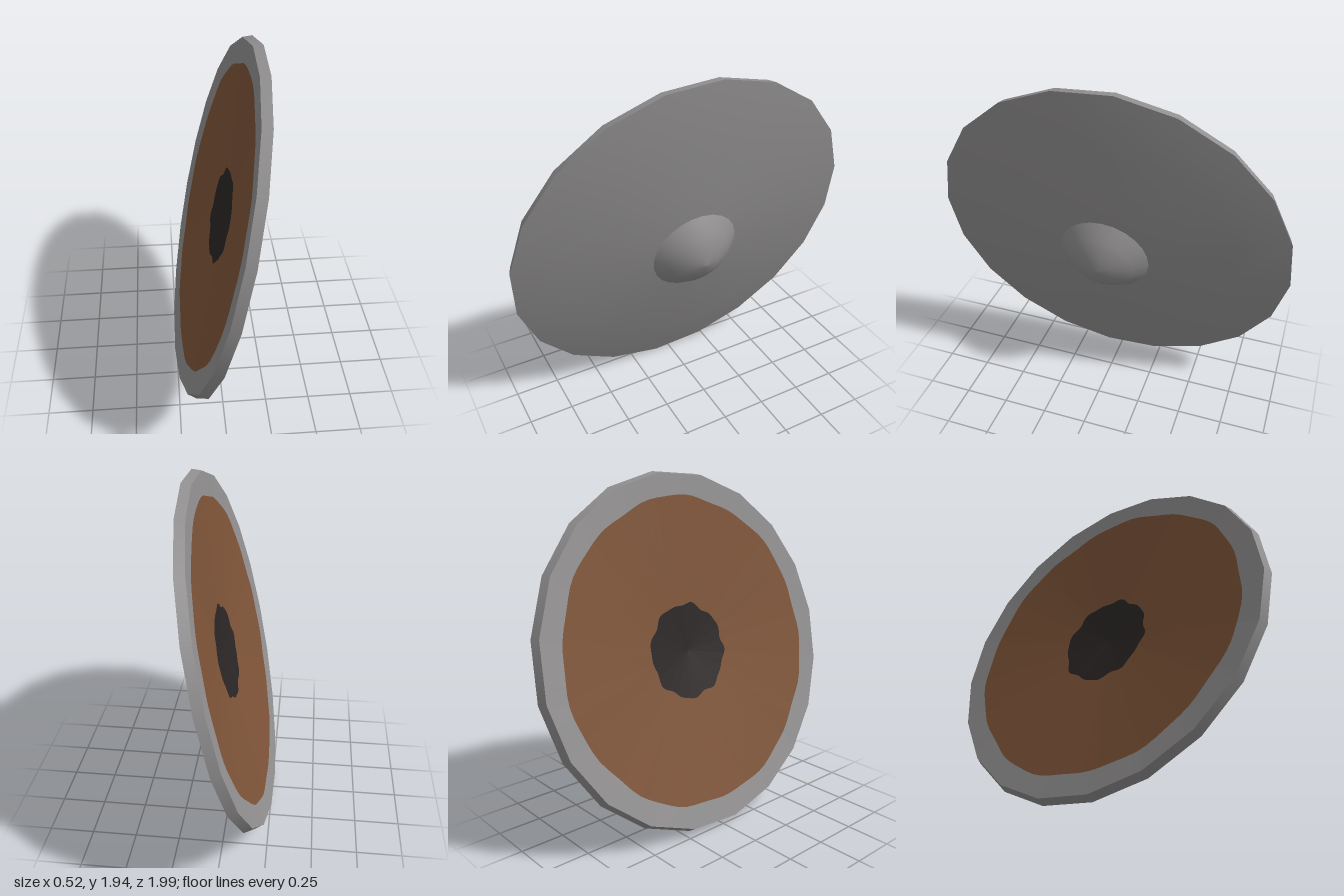
import * as THREE from 'three';

const SIDES = 20;
const START = THREE.MathUtils.degToRad(13);
const BACK_RADIUS = 0.982;

const mat = (name, color) => {
  const m = new THREE.MeshStandardMaterial({ color });
  m.name = name;
  return m;
};

const add = (group, name, geometry, material) => {
  const mesh = new THREE.Mesh(geometry, material);
  mesh.name = name;
  group.add(mesh);
};

const lathe = (points, sides = SIDES) =>
  new THREE.LatheGeometry(points.map(([r, h]) => new THREE.Vector2(r, h)), sides, START);

// Distance from the axis to the edge of a unit polygon in direction a
const polygonEdge = (a) => {
  const step = (Math.PI * 2) / SIDES;
  const local = (((a - START) % step) + step) % step;
  return Math.cos(step / 2) / Math.cos(local - step / 2);
};

// Ring on the hollow, shallow-coned back, between two radius functions of angle
const backRing = (inner, outer) => {
  const n = SIDES * 5, pos = [], index = [];
  for (let i = 0; i <= n; i++) {
    const a = START + (i / n) * Math.PI * 2;
    for (const r of [inner(a), outer(a)]) {
      const h = 0.038 - 0.088 * r / (BACK_RADIUS * polygonEdge(a));
      pos.push(r * Math.sin(a), h, r * Math.cos(a));
    }
    if (i < n) {
      const k = i * 2;
      index.push(k, k + 3, k + 1, k, k + 2, k + 3);
    }
  }
  const g = new THREE.BufferGeometry();
  g.setAttribute('position', new THREE.Float32BufferAttribute(pos, 3));
  g.setIndex(index);
  g.computeVertexNormals();
  return g;
};

export function createModel() {
  const steel = mat('steel grey', 0x929090);
  const wood = mat('brown wood', 0x7e5438);
  const dark = mat('dark hollow', 0x2c2626);

  const shield = new THREE.Group();
  shield.name = 'shield';

  // Outer face, rim band and domed boss
  add(shield, 'outerFace', lathe([[1, 0], [0.71, 0.061], [0.24, 0.117], [0, 0.13]]), steel);
  add(shield, 'rimBand', lathe([[BACK_RADIUS, -0.05], [1, 0]]), steel);
  add(shield, 'boss', lathe([[0.255, 0.112], [0.18, 0.177], [0.09, 0.23], [0, 0.245]], 24), steel);

  // Back: metal border, wooden lining and a ragged dark centre
  const edge = (a) => BACK_RADIUS * polygonEdge(a);
  const lining = (a) => 0.853 + 0.006 * Math.sin(7 * a) + 0.004 * Math.sin(17 * a + 1);
  const hollow = (a) => 0.262 - 0.015 * Math.cos(a) + 0.008 * Math.sin(8 * a) + 0.005 * Math.sin(13 * a);
  add(shield, 'backBorder', backRing(lining, edge), steel);
  add(shield, 'woodLining', backRing(hollow, lining), wood);
  add(shield, 'darkCentre', backRing(() => 0, hollow), dark);

  // Lean the disc so its outer face looks to +x and slightly down
  shield.rotation.z = -(Math.PI / 2 + THREE.MathUtils.degToRad(13.3));
  shield.position.set(0.0125, 0.975, 0);

  const model = new THREE.Group();
  model.name = 'roundShield';
  model.add(shield);
  return model;
}
